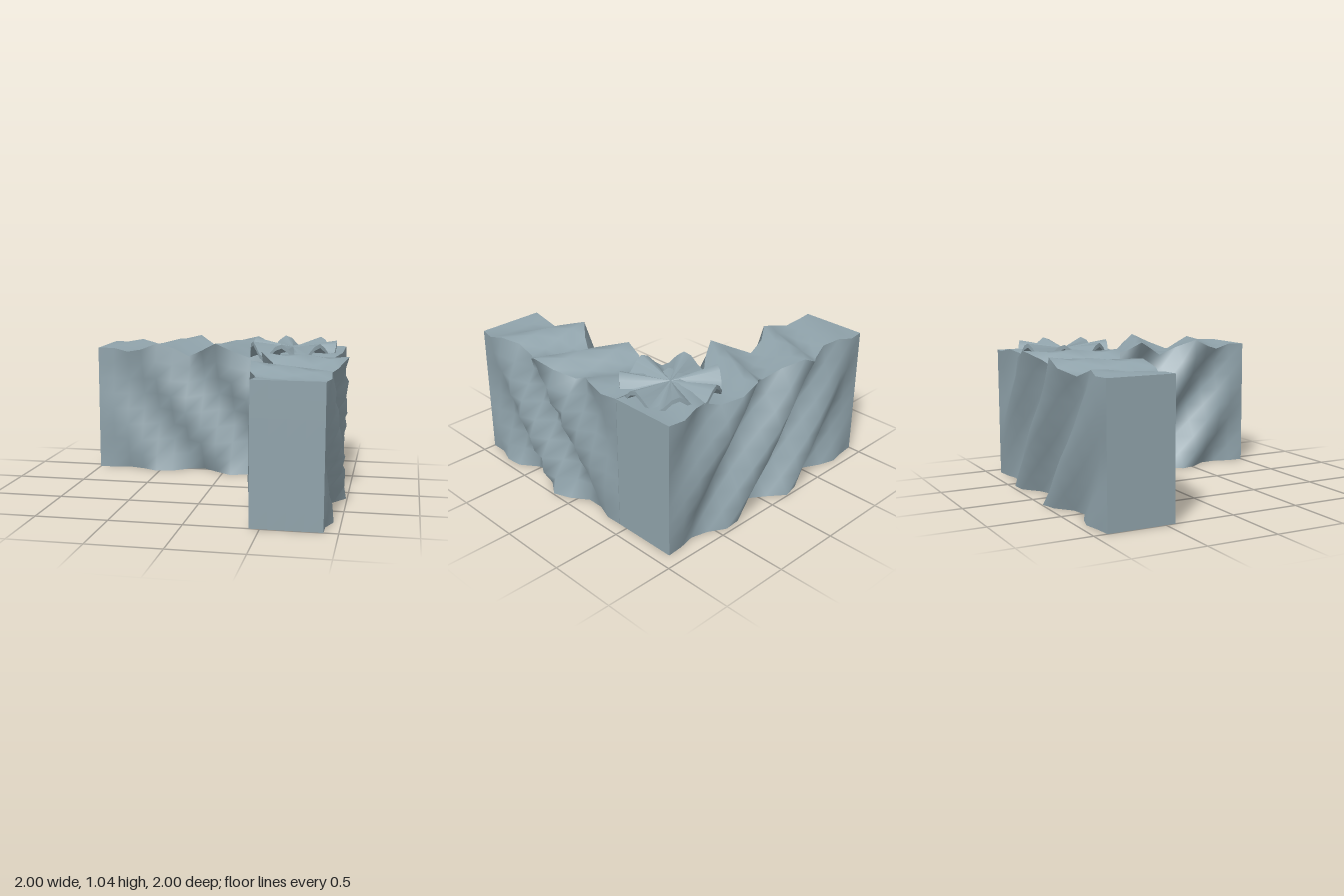
import * as THREE from 'three';

const stone = new THREE.MeshStandardMaterial({ color: 0x8fa2aa });
stone.name = 'blue grey stone';

const HEIGHT = 0.955, WIDTH = 0.475;

// A wall block whose sides and top ripple diagonally, fading out at both ends
function ripplingWall(name, length, segments) {
  const geometry = new THREE.BoxGeometry(length, HEIGHT, WIDTH, segments, 8, 4);
  geometry.translate(0, HEIGHT / 2, 0);
  const p = geometry.attributes.position;
  for (let i = 0; i < p.count; i++) {
    const x = p.getX(i), y = p.getY(i), z = p.getZ(i);
    const fade = Math.max(0, Math.cos((Math.PI * x) / length));
    const sway = 0.093 * Math.cos((2 * Math.PI * (x + 0.77 * (y - HEIGHT))) / 0.594);
    const lift = 0.064 * Math.cos((2 * Math.PI * (x + 0.5 * (z + WIDTH / 2) + 0.2375)) / 0.475);
    p.setY(i, y + lift * fade * Math.pow(y / HEIGHT, 4));
    p.setZ(i, z + sway * fade);
  }
  geometry.computeVertexNormals();
  const mesh = new THREE.Mesh(geometry, stone);
  mesh.name = name;
  return mesh;
}

// A thin round cap with radial folds, deepest at the rim
function foldedCap(radius, thickness, folds) {
  const geometry = new THREE.CylinderGeometry(radius, radius, thickness, 42, 1);
  const p = geometry.attributes.position;
  for (let i = 0; i < p.count; i++) {
    const x = p.getX(i), z = p.getZ(i);
    const angle = Math.atan2(-z, x);
    const reach = Math.hypot(x, z) / radius;
    const fold = 0.054 * reach * Math.cos(folds * (angle - THREE.MathUtils.degToRad(3)));
    p.setY(i, p.getY(i) + fold);
  }
  geometry.computeVertexNormals();
  const mesh = new THREE.Mesh(geometry, stone);
  mesh.name = 'cornerCap';
  return mesh;
}

export function createModel() {
  const model = new THREE.Group();
  model.name = 'cornerWall';

  // Back wall runs along x
  const backWall = ripplingWall('backWall', 1.905, 16);
  backWall.position.set(-0.0475, 0, -0.67);
  model.add(backWall);

  // Side wall runs forward from the corner
  const sideWall = ripplingWall('sideWall', 1.43, 12);
  sideWall.rotation.y = Math.PI / 2;
  sideWall.position.set(0.6675, 0, 0.285);
  model.add(sideWall);

  // Folded cap over the corner
  const cap = foldedCap(0.33, 0.03, 7);
  cap.position.set(0.525, 0.97, -0.53);
  model.add(cap);

  return model;
}
